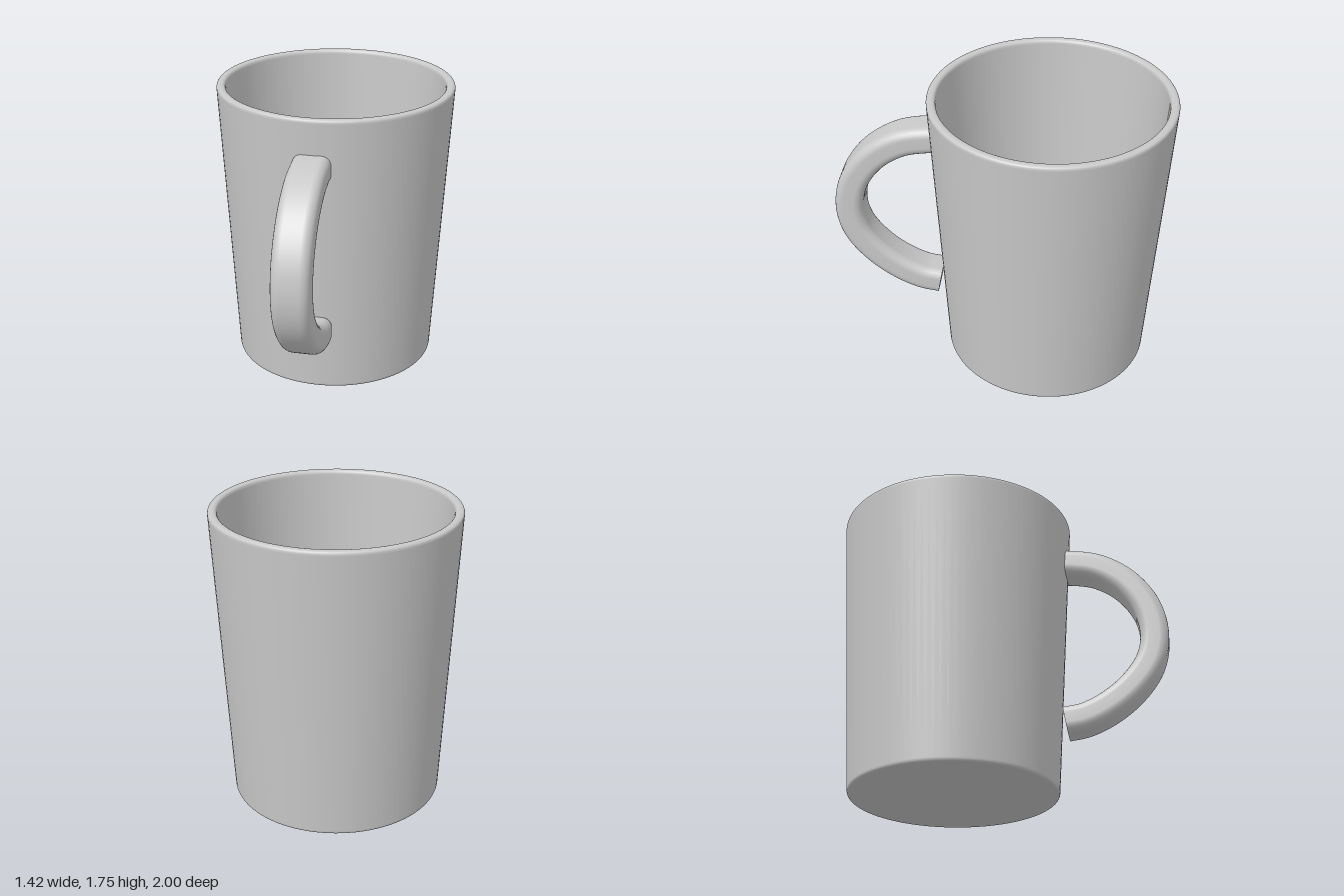
import * as THREE from 'three';

// Round each inner corner of a polyline, keeping the straights flat-shaded
function filletedProfile(corners) {
  const pts = [new THREE.Vector2(corners[0][0], corners[0][1])];
  for (let i = 1; i < corners.length - 1; i++) {
    const [prev, p, next] = [corners[i - 1], corners[i], corners[i + 1]]
      .map(([x, y]) => new THREE.Vector2(x, y));
    const r = corners[i][2];
    const toPrev = prev.sub(p).normalize();
    const toNext = next.sub(p).normalize();
    const at = (dir, d) => p.clone().addScaledVector(dir, d);
    const bend = new THREE.QuadraticBezierCurve(at(toPrev, r), p, at(toNext, r));
    pts.push(at(toPrev, r * 1.08), ...bend.getPoints(6), at(toNext, r * 1.08));
  }
  const last = corners[corners.length - 1];
  pts.push(new THREE.Vector2(last[0], last[1]));
  return pts;
}

// Counter-clockwise rounded rectangle outline
function roundedRect(w, h, r, seg) {
  const pts = [];
  [[1, 1], [-1, 1], [-1, -1], [1, -1]].forEach(([sx, sy], q) => {
    for (let i = 0; i <= seg; i++) {
      const a = (q + i / seg) * Math.PI / 2;
      pts.push([sx * (w / 2 - r) + r * Math.cos(a), sy * (h / 2 - r) + r * Math.sin(a)]);
    }
  });
  return pts;
}

// Sweep an outline along a curve lying in the yz plane, with flat end caps
function sweep(curve, outline, steps) {
  const pos = [], index = [], n = outline.length;
  const addRing = (u) => {
    const p = curve.getPointAt(u), t = curve.getTangentAt(u);
    const start = pos.length / 3;
    for (const [a, b] of outline) pos.push(a, p.y + b * t.z, p.z - b * t.y);
    return start;
  };
  for (let i = 0; i <= steps; i++) addRing(i / steps);
  for (let i = 0; i < steps; i++) {
    for (let j = 0; j < n; j++) {
      const a = i * n + j, b = i * n + (j + 1) % n;
      index.push(a, b, b + n, a, b + n, a + n);
    }
  }
  const first = addRing(0), last = addRing(1);
  for (let j = 1; j < n - 1; j++) {
    index.push(first, first + j + 1, first + j);
    index.push(last, last + j, last + j + 1);
  }
  const geo = new THREE.BufferGeometry();
  geo.setAttribute('position', new THREE.Float32BufferAttribute(pos, 3));
  geo.setIndex(index);
  geo.computeVertexNormals();
  return geo;
}

export function createModel() {
  const group = new THREE.Group();
  group.name = 'mug';
  const ceramic = new THREE.MeshStandardMaterial({ color: 0xc8c8c8 });
  ceramic.name = 'light grey ceramic';

  // Tapered hollow cup: underside, outer wall, rim, inner wall, floor
  const profile = filletedProfile([
    [0, 0], [0.615, 0, 0.02], [0.712, 1.75, 0.023],
    [0.659, 1.75, 0.023], [0.562, 0.06, 0.025], [0, 0.06],
  ]);
  const cup = new THREE.Mesh(new THREE.LatheGeometry(profile, 96), ceramic);
  cup.name = 'cup';
  cup.position.z = -0.29;
  group.add(cup);

  // Handle: rounded strap bent from the upper wall to a free lower end
  const path = new THREE.CatmullRomCurve3([
    [1.455, 0.37], [1.452, 0.43], [1.415, 0.59], [1.3, 0.76], [1.12, 0.88], [0.93, 0.915],
    [0.77, 0.88], [0.62, 0.775], [0.505, 0.635], [0.435, 0.49], [0.415, 0.373],
  ].map(([y, z]) => new THREE.Vector3(0, y, z)));
  const handle = new THREE.Mesh(sweep(path, roundedRect(0.22, 0.17, 0.055, 6), 64), ceramic);
  handle.name = 'handle';
  group.add(handle);

  return group;
}
